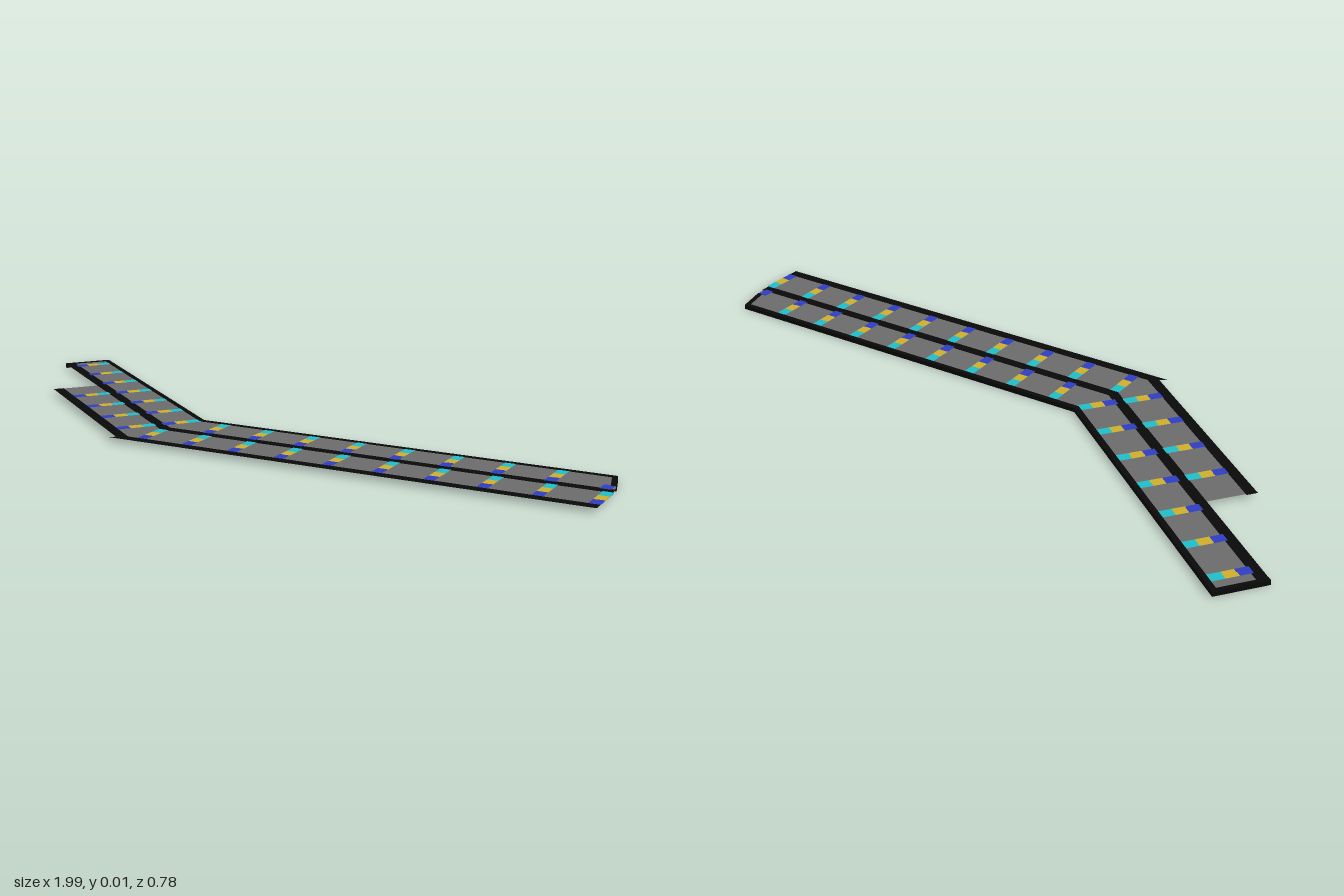
import * as THREE from 'three';
import { mergeGeometries } from 'three/addons/utils/BufferGeometryUtils.js';

const mat = (name, color) => {
  const m = new THREE.MeshStandardMaterial({ color, side: THREE.DoubleSide });
  m.name = name;
  return m;
};

// The strip bends once: each arm has an along direction (u) and an across direction (v)
const BEND = [-0.142, 0.09];
const MITRE = -0.349;
const ARMS = {
  left: { d: [-0.976, -0.215], n: [-0.215, 0.976] },
  right: { d: [0.899, -0.439], n: [0.439, 0.899] },
};
const SHEET_Y = 0.011;

const outline = (side, corners) => {
  const { d, n } = ARMS[side];
  return new THREE.Shape(corners.map(([u, v]) => new THREE.Vector2(
    BEND[0] + u * d[0] + v * n[0],
    -(BEND[1] + u * d[1] + v * n[1]),
  )));
};
const flat = (side, corners, y = SHEET_Y) =>
  new THREE.ShapeGeometry(outline(side, corners)).rotateX(-Math.PI / 2).translate(0, y, 0);
const prism = (side, corners, height) =>
  new THREE.ExtrudeGeometry(outline(side, corners), { depth: height, bevelEnabled: false }).rotateX(-Math.PI / 2);
// Band running from the mitred bend to the arm's end
const band = (v0, v1, end0, end1 = end0) => [[MITRE * v0, v0], [end0, v0], [end1, v1], [MITRE * v1, v1]];

export function createModel() {
  const model = new THREE.Group();
  model.name = 'bentRoad';
  const asphalt = mat('asphaltGrey', 0x6e6e6e);
  const black = mat('edgeBlack', 0x0a0a0a);
  const paints = [mat('cyan', 0x22c0cc), mat('yellow', 0xd2b22e), mat('blue', 0x3040c4)];
  const add = (name, geos, material) => {
    const mesh = new THREE.Mesh(mergeGeometries(geos), material);
    mesh.name = name;
    model.add(mesh);
  };

  // Lane surfaces
  add('backLane', [
    flat('left', band(0.014, 0.108, 0.836)),
    flat('right', band(0.014, 0.108, 1.112, 1.134)),
  ], asphalt);
  add('frontLane', [
    flat('left', band(0.137, 0.236, 0.508)),
    flat('right', band(0.137, 0.236, 1.14)),
  ], asphalt);

  // Flat black border along the front of each lane
  add('middleBorder', [
    flat('left', band(0.108, 0.137, 0.838)),
    flat('right', band(0.108, 0.137, 1.136)),
  ], black);
  add('frontBorder', [
    flat('left', band(0.236, 0.265, 0.512)),
    flat('right', [[MITRE * 0.236, 0.236], [1.14, 0.236], [1.14, 0.265], [-0.125, 0.265]]),
  ], black);

  // Raised kerb along the back, turning the corner at both ends
  const H = 0.012;
  add('backKerb', [
    prism('left', band(0, 0.014, 0.838), H),
    prism('right', band(0, 0.014, 1.108, 1.112), H),
    prism('left', [[0.826, 0.014], [0.838, 0.014], [0.838, 0.137], [0.826, 0.137]], H),
    prism('right', [[1.098, 0.014], [1.112, 0.014], [1.13, 0.084], [1.116, 0.084]], H),
  ], black);

  // Rows of cyan, yellow and blue marks, painted on both faces of the sheet
  const marks = [[], [], []];
  const mark = (side, u, v, colour) => {
    const a = 0.0135, b = 0.0175;
    const corners = [[u - a, v - b], [u + a, v - b], [u + a, v + b], [u - a, v + b]];
    for (const s of [-1, 1]) marks[colour].push(flat(side, corners, SHEET_Y + s * 0.0007));
  };
  const rows = [
    ['left', 0.002, 0.131, 7, [0.03, 0.064, 0.097]],
    ['right', 0.075, 0.1297, 8, [0.03, 0.064, 0.097]],
    ['left', 0.006, 0.131, 4, [0.152, 0.186, 0.22]],
    ['right', -0.04, 0.1296, 10, [0.152, 0.186, 0.22]],
  ];
  for (const [side, start, step, count, across] of rows) {
    for (let i = 0; i < count; i++) across.forEach((v, c) => mark(side, start + i * step, v, c));
  }
  mark('right', 1.113, 0.098, 2);
  ['cyanMarks', 'yellowMarks', 'blueMarks'].forEach((name, i) => add(name, marks[i], paints[i]));

  return model;
}
